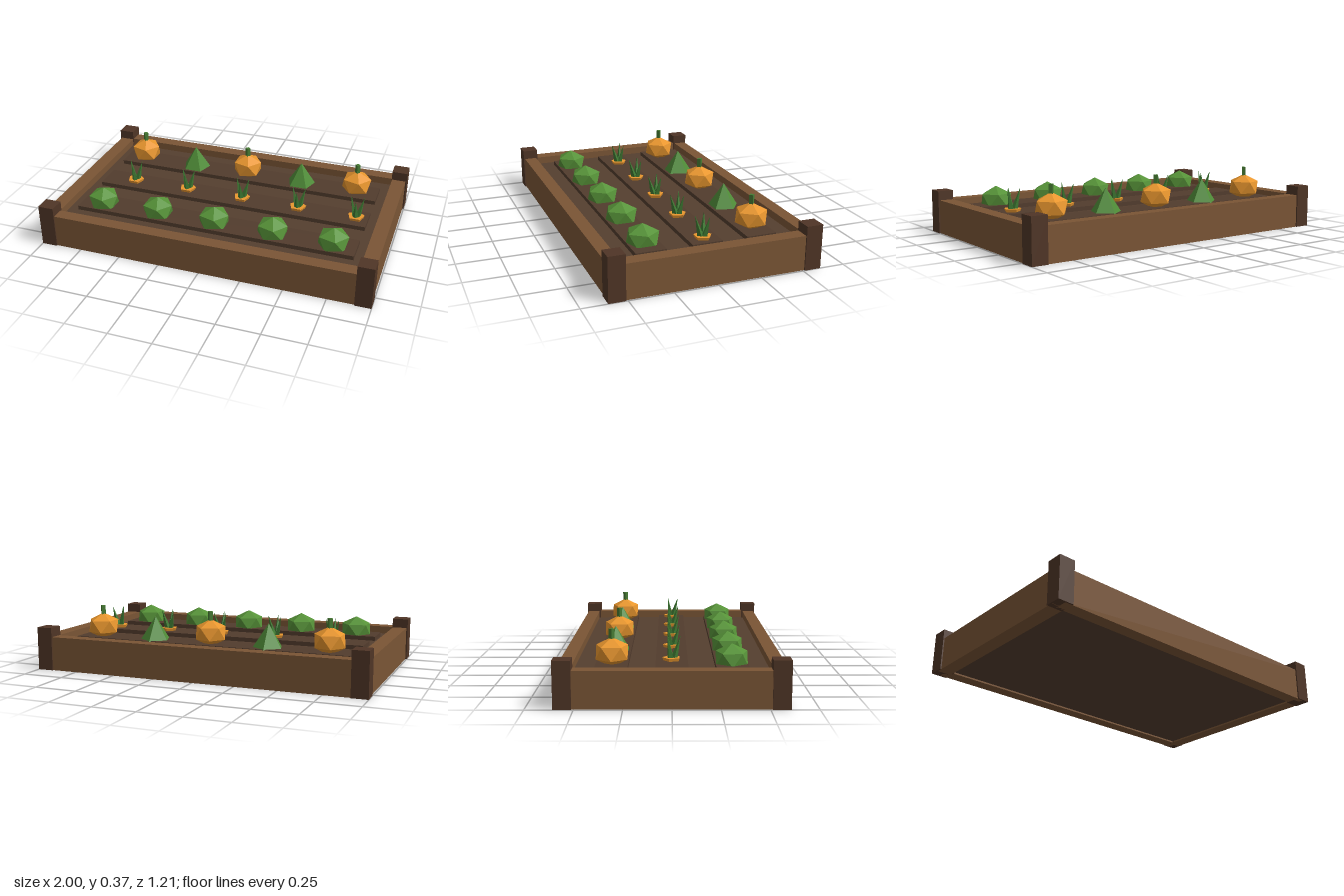
import * as THREE from 'three';

const mat = (color) => new THREE.MeshStandardMaterial({ color, flatShading: true });

export function createModel() {
  const model = new THREE.Group();
  const plank = mat(0x7a5535), post = mat(0x4f3526), soil = mat(0x553f2f), ridge = mat(0x523c2d);
  const orange = mat(0xe8962e), cabbageGreen = mat(0x569238), bushGreen = mat(0x4f8c38);
  const leafGreen = mat(0x3f7a33), stemGreen = mat(0x467a33);

  const add = (parent, name, geometry, material, x = 0, y = 0, z = 0) => {
    const mesh = new THREE.Mesh(geometry, material);
    mesh.name = name;
    mesh.position.set(x, y, z);
    parent.add(mesh);
    return mesh;
  };
  // box standing on height y
  const box = (name, w, h, d, material, x, y, z) =>
    add(model, name, new THREE.BoxGeometry(w, h, d), material, x, y + h / 2, z);

  // wooden frame
  for (const s of [-1, 1]) {
    box('longPlank', 1.9, 0.2, 0.077, plank, 0, 0, s * 0.5585);
    box('shortPlank', 0.084, 0.2, 1.1, plank, s * 0.95, 0, 0);
    for (const t of [-1, 1]) box('cornerPost', 0.095, 0.255, 0.095, post, s * 0.9525, 0, t * 0.5575);
  }

  // soil bed with three raised rows
  box('soil', 1.82, 0.145, 1.042, soil, 0, 0.01, 0);
  for (const z of [-0.32, 0, 0.32]) box('plantingRow', 1.7, 0.03, 0.174, ridge, 0, 0.15, z);

  // squashed icosahedron with one corner pointing straight up
  const roundBody = new THREE.IcosahedronGeometry(1, 0);
  roundBody.rotateZ(-Math.atan(2 / (1 + Math.sqrt(5))));
  roundBody.scale(0.1, 0.081, 0.1);

  const stem = new THREE.CylinderGeometry(0.016, 0.016, 0.07, 4);
  const bush = new THREE.ConeGeometry(0.093, 0.143, 5).rotateY(Math.PI);
  const root = new THREE.CylinderGeometry(0.052, 0.03, 0.06, 5).rotateY(Math.PI);
  // leaf blade grows from its own origin
  const blade = new THREE.ConeGeometry(0.019, 0.13, 4).translate(0, 0.065, 0);

  const pumpkin = (x, z) => {
    const g = new THREE.Group();
    g.name = 'pumpkin';
    g.position.set(x, 0, z);
    add(g, 'pumpkinBody', roundBody, orange, 0, 0.24, 0);
    add(g, 'pumpkinStem', stem, stemGreen, 0, 0.331, 0);
    model.add(g);
  };

  const carrot = (x, z) => {
    const g = new THREE.Group();
    g.name = 'carrot';
    g.position.set(x, 0, z);
    add(g, 'carrotRoot', root, orange, 0, 0.167, 0);
    for (let i = 0; i < 3; i++) {
      const a = (i * Math.PI * 2) / 3;
      const arm = new THREE.Group();
      arm.name = 'carrotLeaf';
      arm.rotation.y = a;
      add(arm, 'leafBlade', blade, leafGreen, 0, 0.19, 0.012).rotation.x = 0.27;
      g.add(arm);
    }
    model.add(g);
  };

  // five plants in each row
  for (let i = 0; i < 5; i++) {
    const x = (i - 2) * 0.357;
    add(model, 'cabbage', roundBody, cabbageGreen, x, 0.206, 0.32);
    carrot(x + 0.064, 0);
    if (i % 2 === 0) pumpkin(x, -0.32);
    else add(model, 'bush', bush, bushGreen, x, 0.246, -0.32);
  }
  return model;
}
